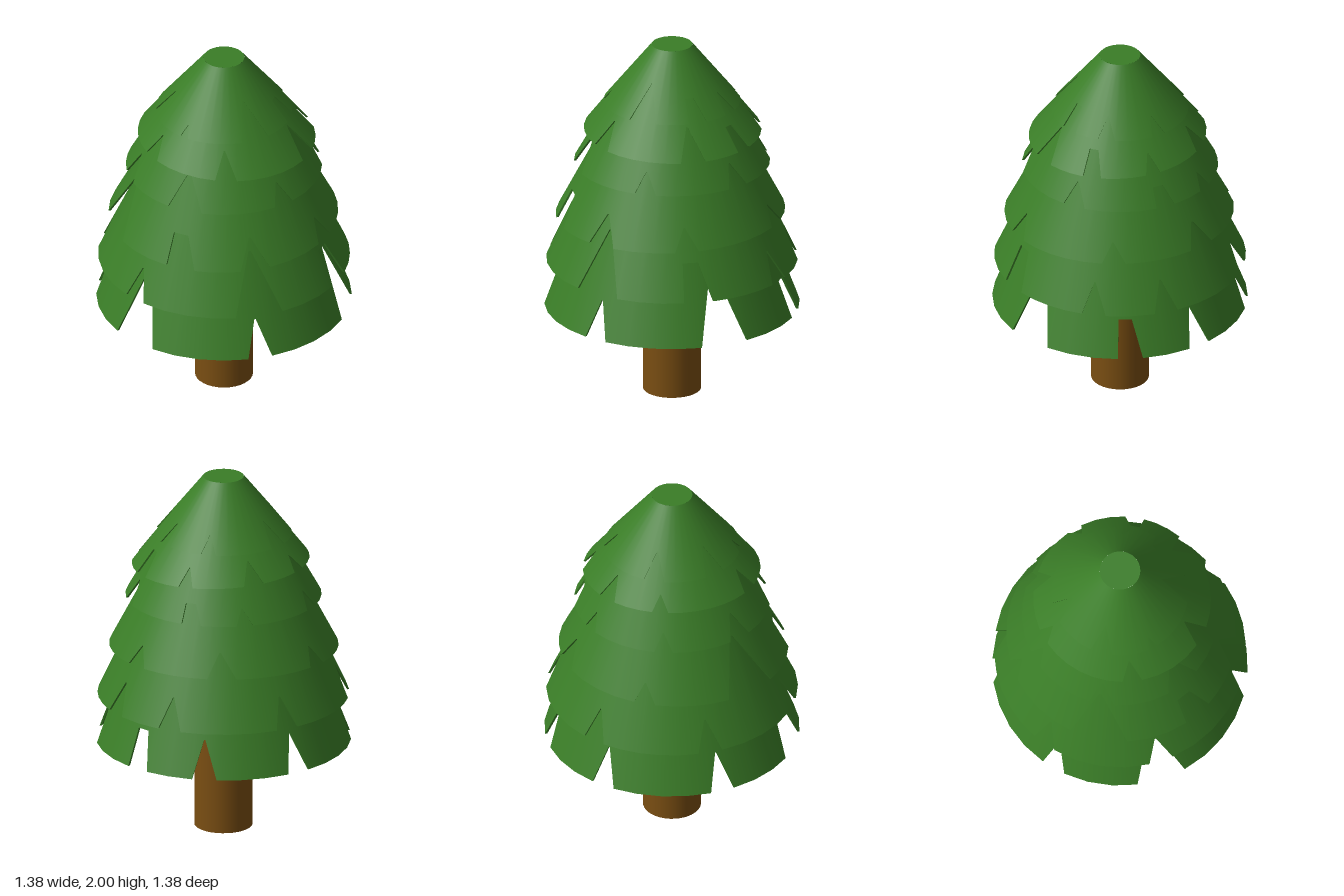
import * as THREE from 'three';
import { mergeGeometries } from 'three/addons/utils/BufferGeometryUtils.js';

const THICK = 0.012;
const STEP = 11.25;

// Each tier: rim height y, rim radius r, inward slope k, top height, notch height per degree of width (cut),
// index of the flat-topped notch, optional rim tilt along x or z,
// and notches as [start, end] in degrees (0 = front, 90 = +x)
const TIERS = [
  { y: 0.5, r: 0.69, k: 0.38, top: 1.1, cut: 0.018, flat: 2, notches: [
    [33.75, 45], [90, 112.5], [146.25, 157.5], [180, 191.25], [225, 236.25], [281.25, 292.5], [326.25, 348.75]] },
  { y: 0.76, r: 0.68, k: 0.46, top: 1.4, cut: 0.0145, flat: 1, notches: [
    [28.1, 50.6], [82, 95.6], [129.4, 140.6], [163.1, 174.4], [219.4, 230.6], [275.6, 286.9], [331.9, 343.1]] },
  { y: 1.035, r: 0.62, k: 0.52, top: 1.6, cut: 0.0097, flat: 0, tiltZ: -0.017, notches: [
    [-7, 8], [31, 46], [78, 90], [138, 150], [186, 201], [244, 255], [293, 322]] },
  { y: 1.325, r: 0.53, k: 0.56, top: 1.7, cut: 0.0085, flat: 3, notches: [
    [-12, 9.5], [54, 67], [112, 126], [169, 181], [202, 212], [253, 264], [300, 315]] },
  { y: 1.52, r: 0.48, k: 0.77, top: 1.88, cut: 0.0088, flat: 2, tiltX: -0.02, notches: [
    [17, 31], [82, 98], [123, 135], [164, 174], [208, 222], [250, 261], [320, 333]] },
  { y: 1.675, r: 0.37, k: 0.8, top: 2, cut: 0.007, flat: 2, notches: [
    [-17, -9], [38, 63], [91, 107], [128, 143], [175, 188], [239, 257], [293, 312]] },
];

// Lower edge of a tier as a list of [angle, height], starting and ending at the first notch
function rimLine({ y, cut, flat, tiltX = 0, tiltZ = 0, notches }) {
  const base = (deg) => {
    const a = THREE.MathUtils.degToRad(deg);
    return [deg, y + tiltX * Math.sin(a) + tiltZ * Math.cos(a)];
  };
  const line = [];
  notches.forEach(([start, end], i) => {
    const width = end - start;
    const [from, to] = i === flat ? [0, 0.6] : [0.4, 0.46];
    const apex = y + cut * width;
    line.push(base(start), [start + from * width, apex], [start + to * width, apex]);
    const next = i + 1 < notches.length ? notches[i + 1][0] : notches[0][0] + 360;
    const n = Math.ceil((next - end) / STEP);
    for (let j = 0; j <= n; j++) line.push(base(end + ((next - end) * j) / n));
  });
  return line;
}

// Band of quads between two point lists of equal length
function band(lower, upper, normalAt) {
  const pos = [], nor = [];
  const add = (list, i) => {
    pos.push(...list[i].toArray());
    if (normalAt) nor.push(...normalAt(i).toArray());
  };
  for (let i = 0; i + 1 < lower.length; i++) {
    add(lower, i); add(lower, i + 1); add(upper, i + 1);
    add(lower, i); add(upper, i + 1); add(upper, i);
  }
  const geo = new THREE.BufferGeometry();
  geo.setAttribute('position', new THREE.Float32BufferAttribute(pos, 3));
  if (normalAt) geo.setAttribute('normal', new THREE.Float32BufferAttribute(nor, 3));
  else geo.computeVertexNormals();
  return geo;
}

// Thin conical skirt with a notched lower edge
function tierGeometry(tier) {
  const line = rimLine(tier);
  const point = (deg, y, inset) => {
    const a = THREE.MathUtils.degToRad(deg);
    const r = tier.r - tier.k * (y - tier.y) - inset;
    return new THREE.Vector3(r * Math.sin(a), y, r * Math.cos(a));
  };
  const normal = (sign) => (i) => {
    const a = THREE.MathUtils.degToRad(line[i][0]);
    return new THREE.Vector3(Math.sin(a), tier.k, Math.cos(a)).normalize().multiplyScalar(sign);
  };
  const edge = (inset) => line.map(([a, y]) => point(a, y, inset));
  const crown = (inset) => line.map(([a]) => point(a, tier.top, inset));
  return mergeGeometries([
    band(edge(0), crown(0), normal(1)),
    band(crown(THICK), edge(THICK), normal(-1)),
    band(edge(THICK), edge(0)),
  ]);
}

export function createModel() {
  const tree = new THREE.Group();
  tree.name = 'pineTree';
  const green = new THREE.MeshStandardMaterial({ color: 0x3a7d27 });
  const brown = new THREE.MeshStandardMaterial({ color: 0x7a4e12 });
  const add = (name, geo, mat) => {
    const mesh = new THREE.Mesh(geo, mat);
    mesh.name = name;
    tree.add(mesh);
    return mesh;
  };

  // Trunk
  add('trunk', new THREE.CylinderGeometry(0.157, 0.157, 1.2, 32), brown).position.y = 0.6;

  // Foliage, from the lowest skirt to the highest
  TIERS.forEach((tier, i) => add(`foliageTier${i + 1}`, tierGeometry(tier), green));

  // Flat tip closing the highest skirt
  const last = TIERS[TIERS.length - 1];
  const tipRadius = last.r - last.k * (last.top - last.y);
  const tip = add('treeTip', new THREE.CircleGeometry(tipRadius, 32), green);
  tip.rotation.x = -Math.PI / 2;
  tip.position.y = last.top;

  return tree;
}
